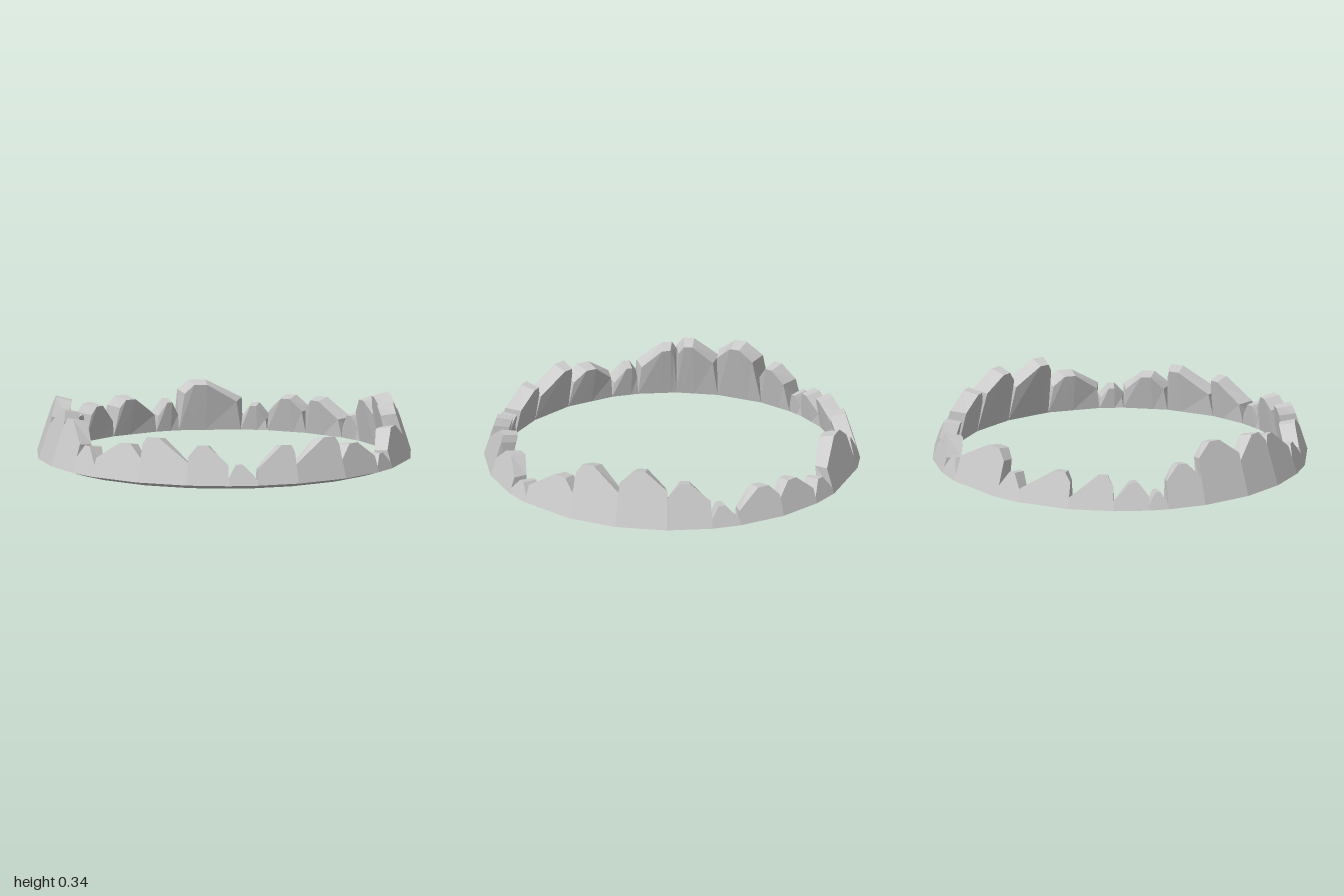
import * as THREE from 'three';

const material = new THREE.MeshStandardMaterial({ color: 0xcccccc, flatShading: true });
const rad = THREE.MathUtils.degToRad;

// Each stone: end angle (degrees from the front towards +x), peak height,
// and where the peak sits along the stone (0 start, 1 end)
const stones = [
  [17, .25, .82], [32, .2, .45], [40, .12, .5], [58, .22, .65], [74, .315, .25],
  [90, .32, .4], [104, .26, .42], [113, .14, .4], [128, .2, .65], [142, .195, .45],
  [151, .14, .5], [172, .27, .7], [180, .17, .5], [197, .21, .75], [211, .2, .75],
  [222, .17, .6], [228, .12, .5], [240, .25, .5], [256, .34, .45], [270, .32, .7],
  [283, .29, .25], [292, .18, .4], [309, .22, .6], [325, .265, .2], [338, .235, .35],
  [347, .135, .4], [360, .23, .8],
];

// Cross-section of the ring: outer foot, outer crest, inner crest, inner foot
function section(angle, height, mid, half) {
  const a = rad(angle);
  const chord = Math.cos(rad(half)) / Math.cos(rad(angle - mid)); // keeps walls flat
  const crest = 1 - 0.32 * (height - 0.03);
  const inner = rad(angle + (mid - angle) * 0.12); // inner side is a little narrower
  const at = (r, y, t) => new THREE.Vector3(Math.sin(t) * r * chord, y, Math.cos(t) * r * chord);
  return [
    at(1, 0.03, a),
    at(crest, height, a),
    at(crest - 0.085, height * 0.94, inner),
    at(0.905, 0, a),
  ];
}

function stoneGeometry(start, end, peak, position) {
  const mid = (start + end) / 2, half = (end - start) / 2;
  // a short flat crest, falling away towards both ends
  const from = Math.max(position - 0.13, 0.06);
  const to = Math.min(position + 0.13, 0.94);
  const fall = (distance) => Math.max(peak - 0.03 - 0.13 * distance, 0.06);
  const profile = [[0, fall(from)], [from, peak], [to, peak], [1, fall(1 - to)]];
  const rings = profile.map(([t, h]) => section(start + (end - start) * t, h, mid, half));

  const points = [];
  const quad = (a, b, c, d) => points.push(a, b, c, a, c, d);
  // long sides
  for (let i = 0; i < rings.length - 1; i++) {
    const A = rings[i], B = rings[i + 1];
    for (let k = 0; k < 4; k++) {
      const n = (k + 1) % 4;
      quad(A[k], B[k], B[n], A[n]);
    }
  }
  // broken ends
  quad(...rings[0]);
  quad(...rings[rings.length - 1].slice().reverse());

  const geometry = new THREE.BufferGeometry().setFromPoints(points);
  geometry.computeVertexNormals();
  return geometry;
}

export function createModel() {
  const model = new THREE.Group();
  model.name = 'stoneRing';
  let start = 0;
  stones.forEach(([end, peak, position], i) => {
    const stone = new THREE.Mesh(stoneGeometry(start, end, peak, position), material);
    stone.name = `stone${i + 1}`;
    model.add(stone);
    start = end;
  });
  return model;
}
